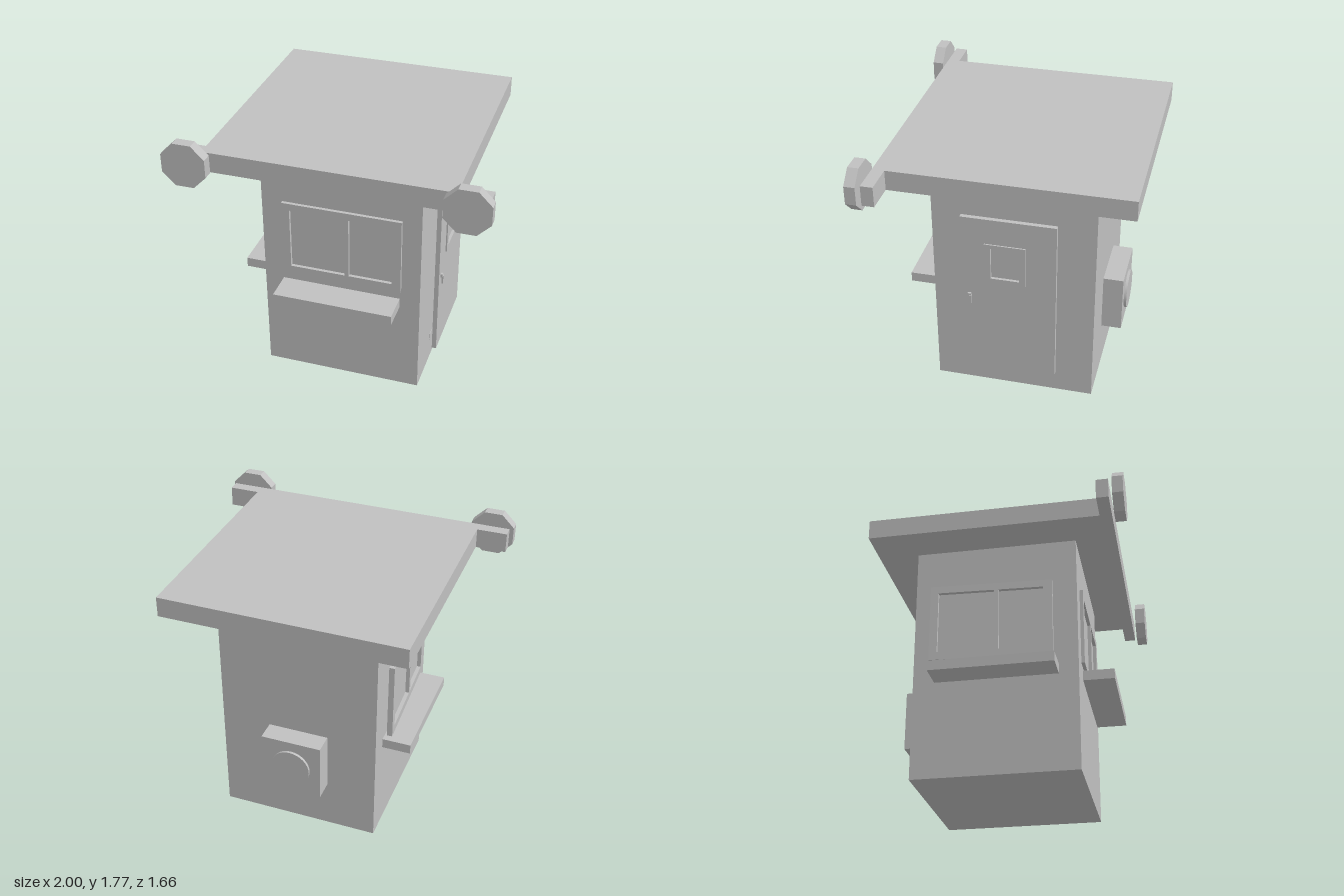
import * as THREE from 'three';

const grey = new THREE.MeshStandardMaterial({ color: 0xc0c0c0 });
grey.name = 'plain grey';

function mesh(parent, name, geometry) {
  const m = new THREE.Mesh(geometry, grey);
  m.name = name;
  parent.add(m);
  return m;
}

// Box given by its extents on each axis
function box(parent, name, [x0, x1], [y0, y1], [z0, z1]) {
  const m = mesh(parent, name, new THREE.BoxGeometry(x1 - x0, y1 - y0, z1 - z0));
  m.position.set((x0 + x1) / 2, (y0 + y1) / 2, (z0 + z1) / 2);
  return m;
}

const rect = (path, x0, x1, y0, y1) =>
  path.moveTo(x0, y0).lineTo(x1, y0).lineTo(x1, y1).lineTo(x0, y1).closePath();

// Rectangular panel with rectangular openings, extruded along +z
function panel(outer, holes, depth) {
  const shape = rect(new THREE.Shape(), ...outer);
  for (const h of holes) shape.holes.push(rect(new THREE.Path(), ...h));
  return new THREE.ExtrudeGeometry(shape, { depth, bevelEnabled: false });
}

// Two-light sliding window, facing +z
function servingWindow(name) {
  const g = new THREE.Group();
  g.name = name;
  const lights = [[-0.339, 0.02, -0.207, 0.211], [0.049, 0.331, -0.207, 0.211]];
  mesh(g, 'windowFrame', panel([-0.39, 0.39, -0.259, 0.259], lights, 0.035));
  for (const [x0, x1, y0, y1] of lights) box(g, 'windowPane', [x0, x1], [y0, y1], [0.002, 0.01]);
  return g;
}

export function createModel() {
  const model = new THREE.Group();
  model.name = 'kiosk';

  box(model, 'body', [-0.52, 0.52], [0, 1.565], [-0.568, 0.476]);

  // Roof slab with a fascia bar that runs past both front corners
  const outline = [[-0.78, 0.83], [0.78, 0.83], [0.78, -0.66], [0.977, -0.66],
    [0.977, -0.737], [-0.977, -0.737], [-0.977, -0.66], [-0.78, -0.66]];
  const roofShape = new THREE.Shape(outline.map(([x, y]) => new THREE.Vector2(x, y)));
  const roof = mesh(model, 'roof', new THREE.ExtrudeGeometry(roofShape, { depth: 0.13, bevelEnabled: false }));
  roof.rotation.x = -Math.PI / 2;
  roof.position.y = 1.565;

  // Octagonal signs at the ends of the fascia
  for (const side of [-1, 1]) {
    const r = 0.141 / Math.cos(Math.PI / 8);
    const geo = new THREE.CylinderGeometry(r, r, 0.068, 8).toNonIndexed();
    geo.rotateY(Math.PI / 8).rotateX(Math.PI / 2);
    geo.computeVertexNormals();
    mesh(model, 'octagonSign', geo).position.set(side * 0.859, 1.634, 0.794);
  }

  // Windows on the front and on the -x side, the latter slightly skewed
  const frontWindow = servingWindow('frontWindow');
  frontWindow.position.set(0.007, 1.014, 0.463);
  const sideWindow = servingWindow('sideWindow');
  sideWindow.position.set(-0.5375, 1.014, -0.068);
  sideWindow.rotation.y = -Math.PI / 2 + 0.045;
  model.add(frontWindow, sideWindow);

  // Counters
  box(model, 'frontCounter', [-0.391, 0.391], [0.63, 0.695], [0.485, 0.682]);
  box(model, 'sideCounter', [-0.705, -0.51], [0.63, 0.695], [-0.432, 0.352]);

  // Door on the +x side: local x runs towards -z
  const door = new THREE.Group();
  door.name = 'door';
  door.rotation.y = Math.PI / 2;
  const opening = [-0.083, 0.101, 0.893, 1.117];
  mesh(door, 'doorLeaf', panel([-0.274, 0.333, 0.177, 1.32], [opening], 0.029)).position.z = 0.563;
  mesh(door, 'doorWindowFrame', panel([-0.123, 0.139, 0.864, 1.144], [opening], 0.009)).position.z = 0.592;
  box(door, 'doorWindowPane', [-0.083, 0.101], [0.893, 1.117], [0.553, 0.582]);
  box(door, 'handleStem', [-0.235, -0.213], [0.733, 0.757], [0.59, 0.606]);
  box(door, 'handleLever', [-0.231, -0.209], [0.684, 0.745], [0.599, 0.61]);
  box(door, 'doorSill', [-0.17, 0.27], [0.15, 0.2], [0.518, 0.523]);
  model.add(door);

  // Air conditioner on the back
  box(model, 'airConditioner', [-0.198, 0.198], [0.33, 0.717], [-0.7, -0.566]);
  const fan = mesh(model, 'fanDisc', new THREE.CylinderGeometry(0.128, 0.128, 0.019, 32));
  fan.rotation.x = Math.PI / 2;
  fan.position.set(0, 0.522, -0.7075);

  return model;
}
